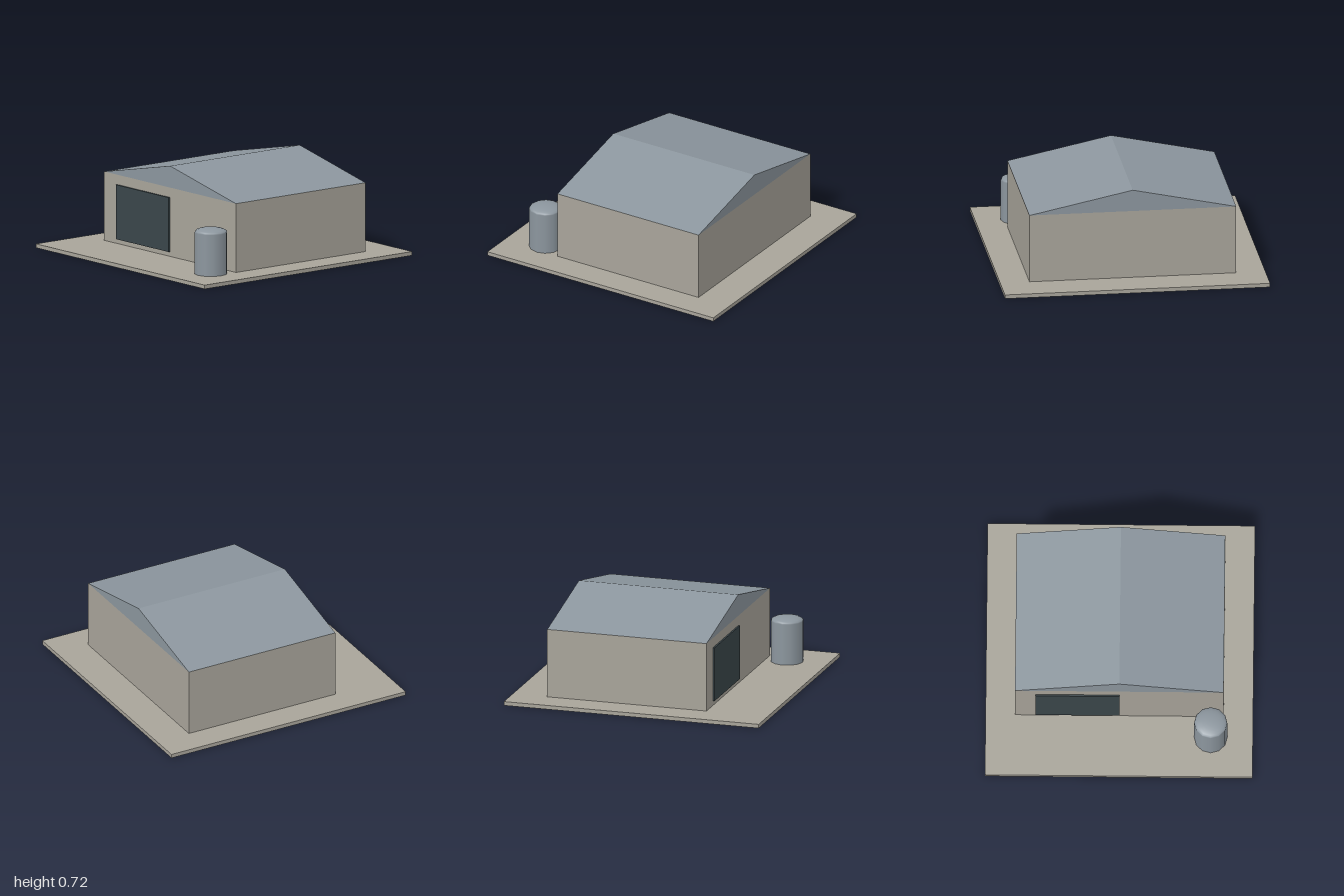
import * as THREE from 'three';

export function createModel() {
  const group = new THREE.Group();
  const material = (name, color) => {
    const m = new THREE.MeshStandardMaterial({ color });
    m.name = name;
    return m;
  };
  const concrete = material('concrete', 0xa8a49a);
  const metal = material('blue grey metal', 0x8c969e);
  const dark = material('dark door', 0x3a464a);

  const add = (name, geometry, mat, x, y, z, parent = group) => {
    const mesh = new THREE.Mesh(geometry, mat);
    mesh.name = name;
    mesh.position.set(x, y, z);
    parent.add(mesh);
    return mesh;
  };

  const slabTop = 0.03, eaves = 0.555, ridge = 0.72;
  const halfWidth = 0.78, front = 0.52, back = -0.73;
  const depth = front - back, midZ = (front + back) / 2;

  // Ground slab and hall walls
  add('slab', new THREE.BoxGeometry(2, slabTop, 2), concrete, 0, slabTop / 2, 0);
  add('walls', new THREE.BoxGeometry(halfWidth * 2, eaves - slabTop, depth), concrete,
    0, (eaves + slabTop) / 2, midZ);

  // Gabled roof prism
  const gable = new THREE.Shape([
    new THREE.Vector2(-halfWidth, 0),
    new THREE.Vector2(halfWidth, 0),
    new THREE.Vector2(0, ridge - eaves),
  ]);
  add('roof', new THREE.ExtrudeGeometry(gable, { depth, bevelEnabled: false }), metal, 0, eaves, back);

  // Large front door
  add('door', new THREE.BoxGeometry(0.625, 0.415, 0.016), dark, -0.3125, 0.2725, front + 0.005);

  // Storage tank with a shallow domed cap
  const tank = new THREE.Group();
  tank.name = 'tank';
  tank.position.set(0.685, slabTop, 0.685);
  group.add(tank);
  const radius = 0.124, height = 0.315, sides = 12;
  add('tankBody', new THREE.CylinderGeometry(radius, radius, height, sides), metal, 0, height / 2, 0, tank);
  const dome = new THREE.SphereGeometry(radius, sides, 6, 0, Math.PI * 2, 0, Math.PI / 2);
  dome.scale(1, 0.29, 1);
  add('tankDome', dome, metal, 0, height, 0, tank);

  return group;
}
